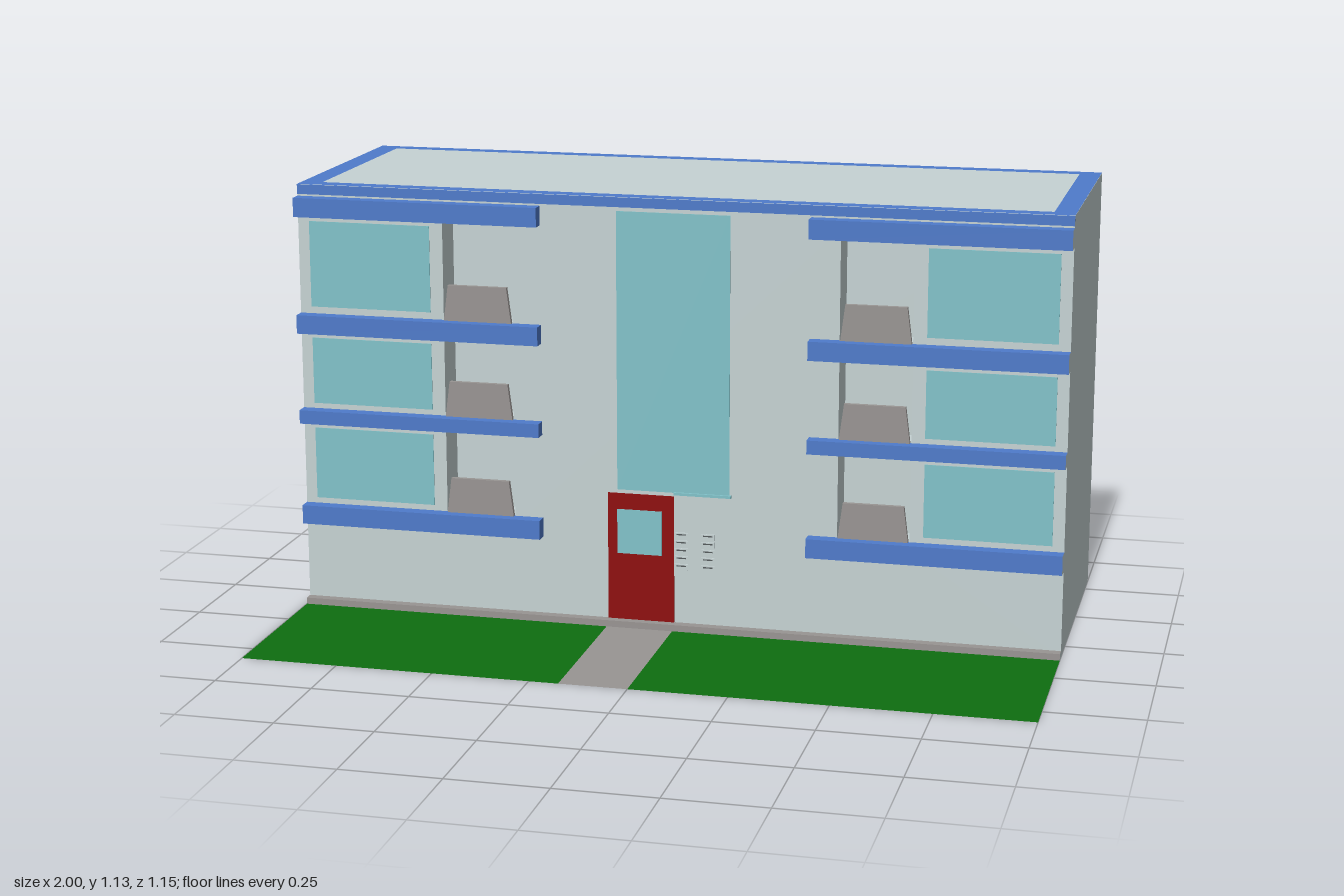
import * as THREE from 'three';

const paint = (color, side = THREE.FrontSide) =>
  new THREE.MeshStandardMaterial({ color, side });

function rectPath(path, x0, y0, x1, y1) {
  path.moveTo(x0, y0);
  path.lineTo(x1, y0);
  path.lineTo(x1, y1);
  path.lineTo(x0, y1);
  path.closePath();
  return path;
}

export function createModel() {
  const model = new THREE.Group();
  model.name = 'apartmentBuilding';

  const wall = paint(0xc6d3d4);
  const blue = paint(0x4f7bcb);
  const glass = paint(0x82c3ca);
  const stone = paint(0x999593);
  const red = paint(0x8f0d0d);
  const dark = paint(0x555a5c);
  const lawnGreen = paint(0x0e6e10, THREE.DoubleSide);
  const pathGrey = paint(0x999593, THREE.DoubleSide);

  const FRONT = 0.09, BACK = -0.575, TOP = 1.125, RECESS = 0.09;

  function add(name, geometry, material) {
    const mesh = new THREE.Mesh(geometry, material);
    mesh.name = name;
    model.add(mesh);
    return mesh;
  }
  // Box given by its two opposite corners
  function box(name, material, x0, x1, y0, y1, z0, z1) {
    const mesh = add(name, new THREE.BoxGeometry(x1 - x0, y1 - y0, z1 - z0), material);
    mesh.position.set((x0 + x1) / 2, (y0 + y1) / 2, (z0 + z1) / 2);
    return mesh;
  }
  // Flat sheet on the ground
  function sheet(name, material, x0, x1, z0, z1) {
    const mesh = add(name, new THREE.PlaneGeometry(x1 - x0, z1 - z0).rotateX(-Math.PI / 2), material);
    mesh.position.set((x0 + x1) / 2, 0, (z0 + z1) / 2);
  }

  // Main block, and a front wall with an opening for each balcony bay
  box('mainBlock', wall, -1, 1, 0, TOP, BACK, FRONT - RECESS);
  const facade = rectPath(new THREE.Shape(), -1, 0, 1, TOP);
  for (const s of [-1, 1]) {
    const a = s < 0 ? -0.61 : 0.425;
    facade.holes.push(rectPath(new THREE.Path(), a, 0.25, a + 0.185, 1.07));
  }
  add('frontWall', new THREE.ExtrudeGeometry(facade, { depth: RECESS, bevelEnabled: false }), wall)
    .position.z = FRONT - RECESS;

  // Roof border and the thin fascia below it
  const rim = rectPath(new THREE.Shape(), -1, -FRONT, 1, -BACK);
  rim.holes.push(rectPath(new THREE.Path(), -0.945, -0.05, 0.945, 0.535));
  add('roofBorder', new THREE.ShapeGeometry(rim).rotateX(-Math.PI / 2), blue).position.y = TOP + 0.001;
  box('roofFascia', blue, -1, 1, 1.1, TOP, FRONT, FRONT + 0.002);

  // Plinth along the foot of the front wall
  box('plinth', [wall, wall, stone, stone, stone, stone], -1, 1, 0, 0.017, FRONT, 0.115);

  // Balcony bands, floors, railings and side windows, on both sides
  const bands = [[0.225, 0.275], [0.497, 0.533], [0.738, 0.787], [1.045, 1.095]];
  const windows = [[0.29, 0.48], [0.547, 0.722], [0.805, 1.03]];
  const railing = new THREE.Shape([
    new THREE.Vector2(-0.09, 0), new THREE.Vector2(0.09, 0),
    new THREE.Vector2(0.078, 0.093), new THREE.Vector2(-0.078, 0.093),
  ]);
  const railingGeometry = new THREE.ExtrudeGeometry(railing, { depth: 0.012, bevelEnabled: false });

  for (const s of [-1, 1]) {
    const side = s < 0 ? 'right' : 'left';
    const span = (a, b) => (s < 0 ? [-b, -a] : [a, b]);
    // The outer end of each band matches the wall
    const bandPaint = [s > 0 ? wall : blue, s < 0 ? wall : blue, blue, blue, blue, blue];

    bands.forEach(([y0, y1], i) => {
      box(side + 'BalconyBand', bandPaint, ...span(0.35, 1), y0, y1, FRONT, 0.125);
      if (i === 3) return;
      box(side + 'BalconyFloor', wall, ...span(0.425, 0.61), y0, y1 - 0.002, FRONT - RECESS, FRONT);
      add(side + 'BalconyRailing', railingGeometry, stone)
        .position.set(s * 0.5175, y1, FRONT - 0.004);
    });
    for (const [y0, y1] of windows) {
      box(side + 'Window', glass, ...span(0.645, 0.97), y0, y1, FRONT - 0.01, FRONT + 0.002);
    }
  }

  // Tall stairwell window with a small sill
  box('stairWindow', glass, -0.15, 0.145, 0.365, 1.09, FRONT - 0.01, FRONT + 0.002);
  box('stairWindowSill', glass, 0, 0.15, 0.36, 0.367, FRONT, FRONT + 0.008);

  // Entrance door
  box('door', red, -0.175, 0, 0.017, 0.355, FRONT - 0.01, FRONT + 0.003);
  box('doorWindow', glass, -0.15, -0.032, 0.195, 0.313, FRONT, FRONT + 0.005);

  // Two columns of letter boxes, each with a dark slot
  for (const x of [0.002, 0.072]) {
    for (let i = 0; i < 5; i++) {
      const y = 0.16 + i * 0.021;
      box('letterBox', wall, x, x + 0.035, y, y + 0.016, FRONT, FRONT + 0.005);
      box('letterSlot', dark, x + 0.005, x + 0.03, y + 0.01, y + 0.013, FRONT, FRONT + 0.006);
    }
  }

  // Lawn on both sides of the entrance path
  sheet('lawnRight', lawnGreen, -1, -0.175, FRONT, 0.575);
  sheet('entrancePath', pathGrey, -0.175, 0, FRONT, 0.575);
  sheet('lawnLeft', lawnGreen, 0, 1, FRONT, 0.575);

  return model;
}
